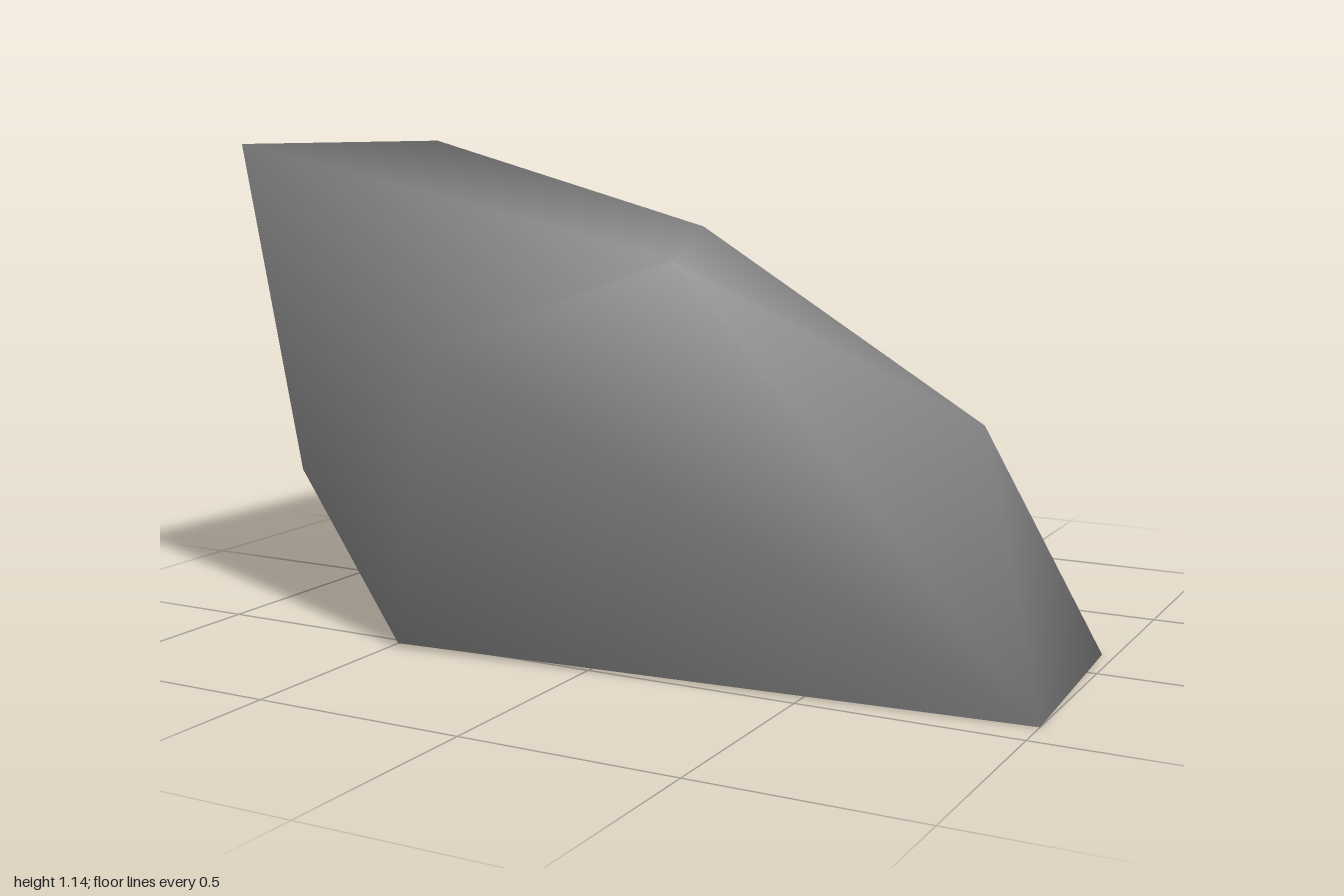
import * as THREE from 'three';

// Corners of the rock
const corners = [
  [-1, 1.145, 0.43], [0.19, 0.91, 0.46], [-0.38, 0.7, 0.54],      // 0-2 front, upper
  [-0.86, 0.36, 0.41], [-0.95, 1.145, -0.3], [0, 0.95, -0.05],    // 3 left flank, 4-5 top back
  [1, 0, 0.41], [-0.48, 0.01, 0.55], [-0.85, 0.34, -0.42],        // 6-7 front foot, 8 back flank
  [-0.49, 0.01, -0.545], [0.69, 0.51, -0.12], [0.97, 0, -0.15],   // 9 back foot, 10-11 right end
].map((c) => new THREE.Vector3(...c));

const facets = [
  [0, 5, 4], [0, 1, 5],                                  // top
  [0, 2, 1], [0, 3, 2], [1, 2, 6], [2, 7, 6], [2, 3, 7], // front
  [0, 4, 3], [3, 4, 8], [3, 8, 7],                       // side at -x
  [5, 1, 10], [1, 6, 10], [11, 10, 6],                   // side at +x
  [4, 5, 8], [5, 10, 8], [10, 9, 8], [11, 9, 10],        // hollow back
  [11, 6, 7], [11, 7, 9], [7, 8, 9],                     // underside
];

// Smooth normals, each facet weighted by its angle at the corner
function smoothNormals() {
  const normals = corners.map(() => new THREE.Vector3());
  for (const facet of facets) {
    const [a, b, c] = facet.map((i) => corners[i]);
    const facing = new THREE.Triangle(a, b, c).getNormal(new THREE.Vector3());
    facet.forEach((id, k) => {
      const next = corners[facet[(k + 1) % 3]].clone().sub(corners[id]);
      const last = corners[facet[(k + 2) % 3]].clone().sub(corners[id]);
      normals[id].addScaledVector(facing, next.angleTo(last));
    });
  }
  return normals.map((n) => n.normalize());
}

function rockGeometry() {
  const flat = (vectors) => new THREE.Float32BufferAttribute(vectors.flatMap((v) => v.toArray()), 3);
  const geometry = new THREE.BufferGeometry();
  geometry.setAttribute('position', flat(corners));
  geometry.setAttribute('normal', flat(smoothNormals()));
  geometry.setIndex(facets.flat());
  return geometry;
}

export function createModel() {
  const stone = new THREE.MeshStandardMaterial({ color: 0x888888 });
  stone.name = 'stone grey';

  const rock = new THREE.Mesh(rockGeometry(), stone);
  rock.name = 'rock';

  const model = new THREE.Group();
  model.name = 'boulder';
  model.add(rock);
  return model;
}
